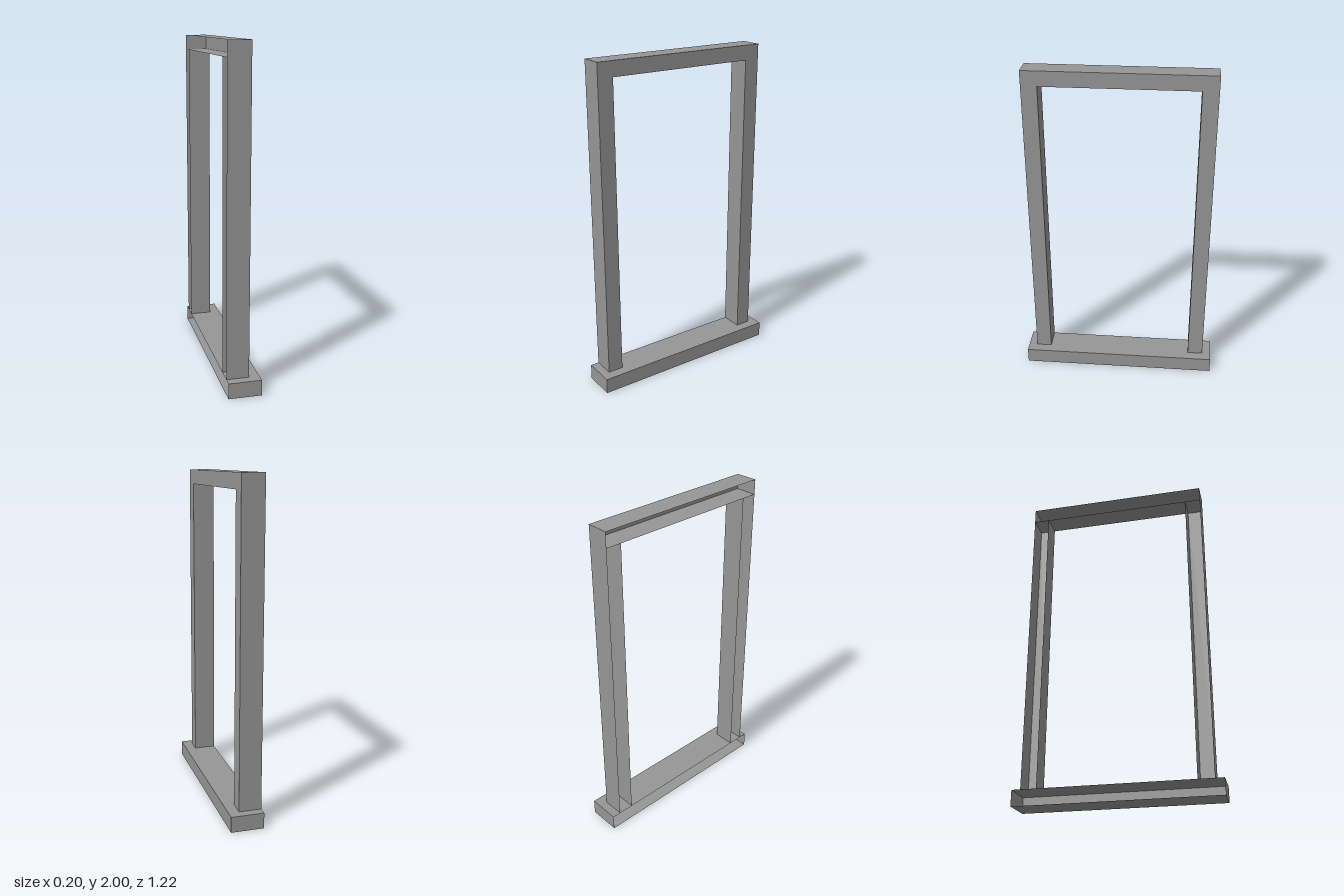
import * as THREE from 'three';

// Face order of a box: +x, -x, +y, -y, +z, -z
const BACK = 1, TOP = 2, BOTTOM = 3;

// Box between two corners, leaving out the listed faces
function openBox(min, max, omit) {
  const size = max.map((v, i) => v - min[i]);
  const geo = new THREE.BoxGeometry(...size);
  const index = Array.from(geo.index.array);
  geo.setIndex(index.filter((_, i) => !omit.includes(Math.floor(i / 6))));
  geo.clearGroups();
  geo.translate(...max.map((v, i) => (v + min[i]) / 2));
  return geo;
}

export function createModel() {
  const group = new THREE.Group();
  group.name = 'windowFrame';
  const grey = new THREE.MeshStandardMaterial({ color: 0x969696, side: THREE.DoubleSide });
  grey.name = 'trim grey';

  const add = (name, min, max, omit) => {
    const mesh = new THREE.Mesh(openBox(min, max, omit), grey);
    mesh.name = name;
    group.add(mesh);
  };

  const wall = -0.1;       // open side that sits against the wall
  const face = 0.035;      // front of the trim
  const sillTop = 0.095;
  const headBottom = 1.91;
  const outer = 0.555, inner = 0.46;

  // Projecting sill
  add('sill', [wall, 0, -0.608], [0.098, sillTop, 0.608], [BACK]);

  // Side posts, open where they meet the sill and head
  add('leftPost', [wall, sillTop, -outer], [face, headBottom, -inner], [BACK, TOP, BOTTOM]);
  add('rightPost', [wall, sillTop, inner], [face, headBottom, outer], [BACK, TOP, BOTTOM]);

  // Head across the top
  add('head', [wall, headBottom, -outer], [face, 2, outer], [BACK]);

  return group;
}
